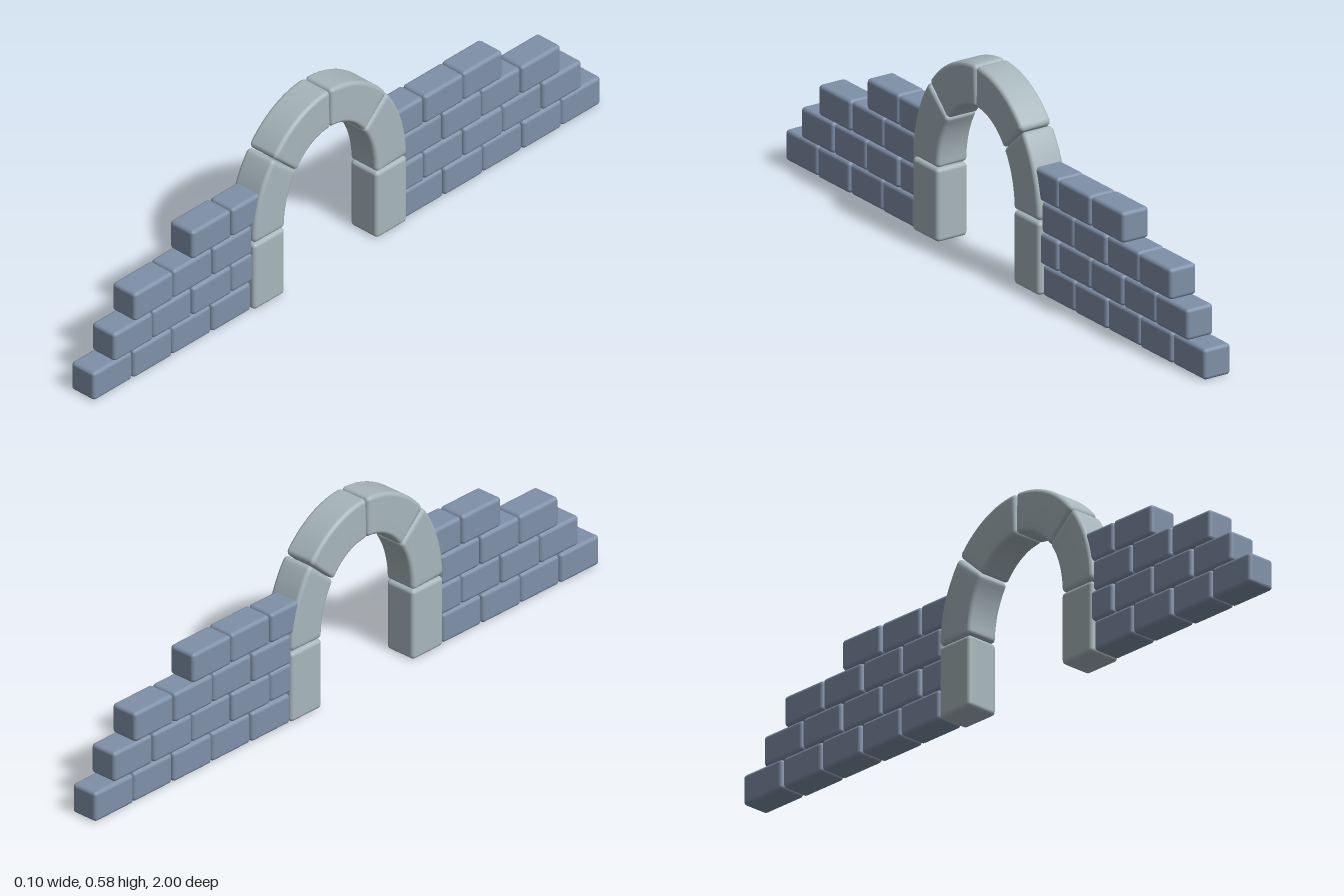
import * as THREE from 'three';
import { RoundedBoxGeometry } from 'three/addons/geometries/RoundedBoxGeometry.js';

const brickMat = new THREE.MeshStandardMaterial({ color: 0x7f90a8 });
const archMat = new THREE.MeshStandardMaterial({ color: 0xa7b6bb });

const ARCH_Z = 0.077, SPRING_Y = 0.221;   // arch centre line and spring height
const HALF_X = 0.051, HALF_T = 0.061;     // half depth and half thickness of the arch
const MID_A = 0.241, MID_B = 0.299;       // mid-line ellipse radii (z, y)

function block(name, mat, w, h, d, r, x, y, z) {
  const mesh = new THREE.Mesh(new RoundedBoxGeometry(w, h, d, 3, r), mat);
  mesh.name = name;
  mesh.position.set(x, y, z);
  return mesh;
}

// Rounded rectangle as [x, radial] points, counterclockwise
function section(inset, r) {
  const pts = [], k = 4, c = Math.max(r - inset, 0.001);
  const hx = HALF_X - inset - c, ht = HALF_T - inset - c;
  [[1, 1], [-1, 1], [-1, -1], [1, -1]].forEach(([sx, st], q) => {
    for (let i = 0; i <= k; i++) {
      const a = (q + i / k) * Math.PI / 2;
      pts.push([sx * hx + c * Math.cos(a), st * ht + c * Math.sin(a)]);
    }
  });
  return pts;
}

// Curved arch stone between two ellipse parameters, with rounded ends
function archStone(t0, t1) {
  const r = 0.012, bend = 16, round = 4, len = 0.27, gap = 0.001 / len;
  const rings = [];
  const start = t0 + gap, end = t1 - gap;
  const cap = i => {
    const a = i / round * Math.PI / 2;
    return [r * (1 - Math.sin(a)) / len, r * (1 - Math.cos(a))];
  };
  for (let i = round; i >= 0; i--) {
    const [dt, inset] = cap(i);
    rings.push([start + dt, inset]);
  }
  const s = start + r / len, e = end - r / len;
  for (let i = 1; i < bend; i++) rings.push([s + (e - s) * i / bend, 0]);
  for (let i = 0; i <= round; i++) {
    const [dt, inset] = cap(i);
    rings.push([end - dt, inset]);
  }

  const pos = [], idx = [];
  const put = (x, rad, t) => pos.push(
    x, SPRING_Y + (MID_B + rad) * Math.sin(t), ARCH_Z + (MID_A + rad) * Math.cos(t));
  for (const [t, inset] of rings) for (const [x, rad] of section(inset, r)) put(x, rad, t);
  const n = section(0, r).length, last = rings.length - 1;
  put(0, 0, start);
  put(0, 0, end);
  const c0 = rings.length * n, c1 = c0 + 1;
  for (let i = 0; i < n; i++) {
    const k = (i + 1) % n;
    for (let j = 0; j < last; j++) {
      const a = j * n + i, b = j * n + k;
      idx.push(a, a + n, b, b, a + n, b + n);
    }
    idx.push(c0, i, k, c1, last * n + k, last * n + i);
  }
  const geo = new THREE.BufferGeometry();
  geo.setAttribute('position', new THREE.Float32BufferAttribute(pos, 3));
  geo.setIndex(idx);
  geo.computeVertexNormals();
  return geo;
}

export function createModel() {
  const model = new THREE.Group();
  model.name = 'ruinedArchWall';

  // Archway: two upright pillars and four curved stones
  const arch = new THREE.Group();
  arch.name = 'arch';
  for (const side of [1, -1]) {
    arch.add(block(side > 0 ? 'frontPillar' : 'backPillar', archMat,
      HALF_X * 2, 0.215, HALF_T * 2, 0.012, 0, 0.1115, ARCH_Z + side * MID_A));
  }
  const joints = [0, 0.235, 0.5, 0.765, 1].map(v => v * Math.PI);
  for (let i = 0; i < 4; i++) {
    const stone = new THREE.Mesh(archStone(joints[i], joints[i + 1]), archMat);
    stone.name = 'archStone' + (i + 1);
    arch.add(stone);
  }
  model.add(arch);

  // Stepped brick courses: outer end, bricks on the front and back sides
  const courses = [[1.0, 4, 5], [0.922, 4, 5], [0.84, 3, 4], [0.612, 2, 3]];
  const pitch = 0.155, rise = 0.0915;
  for (const side of [1, -1]) {
    const wall = new THREE.Group();
    wall.name = side > 0 ? 'frontWall' : 'backWall';
    courses.forEach(([end, front, back], row) => {
      const count = side > 0 ? front : back;
      for (let i = 0; i < count; i++) {
        const shift = (((row * 3 + i * 2) % 4) - 1.5) * 0.001;
        wall.add(block('brick', brickMat, 0.088, 0.091, pitch - 0.002, 0.011,
          -0.003 + shift, 0.0505 + row * rise, side * (end - pitch * (i + 0.5))));
      }
    });
    model.add(wall);
  }

  // Rest on the ground
  const box = new THREE.Box3().setFromObject(model);
  for (const part of model.children) part.position.y -= box.min.y;
  return model;
}
